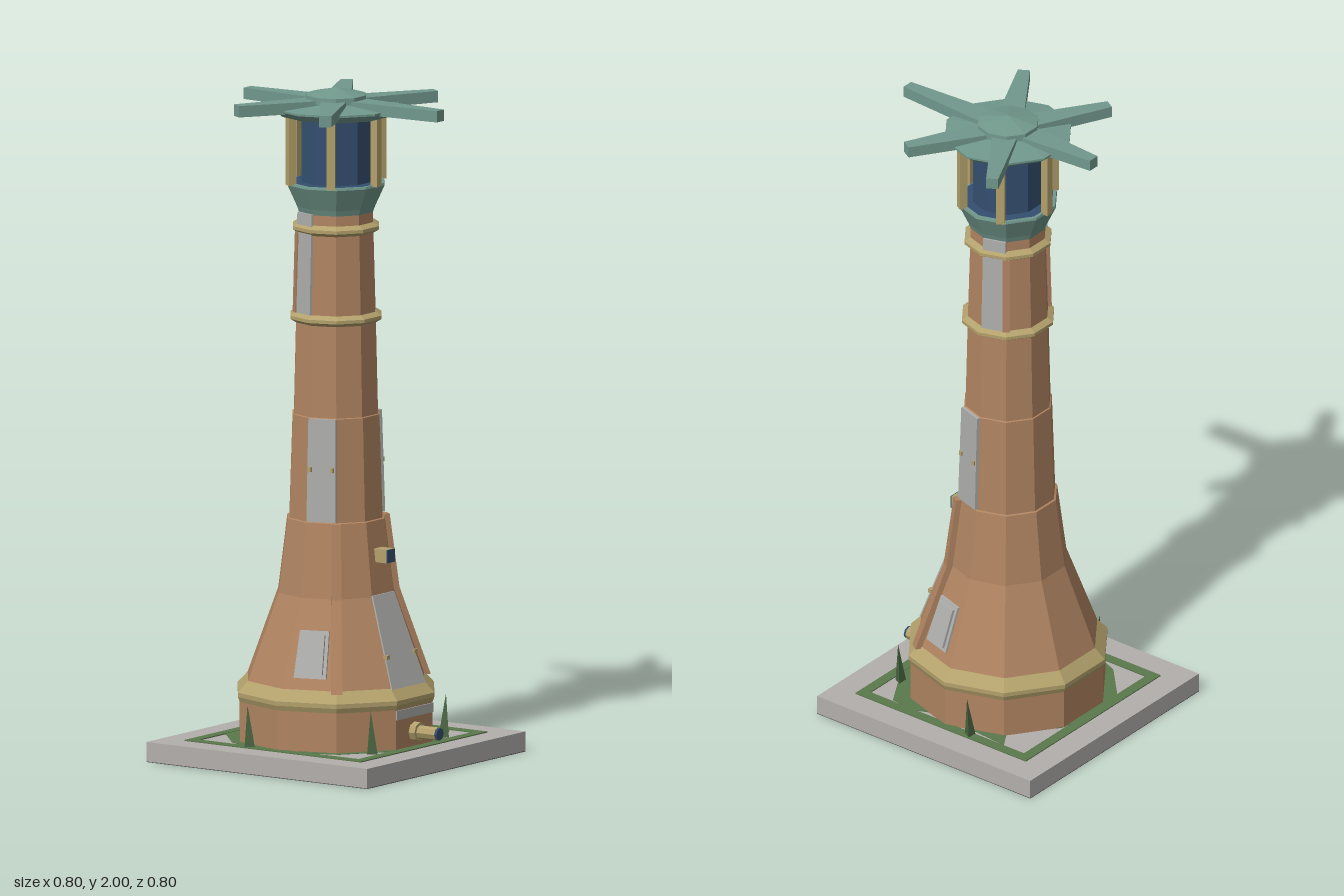
import * as THREE from 'three';
import { ConvexGeometry } from 'three/addons/geometries/ConvexGeometry.js';

const mat = (name, color) => Object.assign(new THREE.MeshStandardMaterial({ color }), { name });
const M = {
  brick: mat('brick', 0xb08461),
  brass: mat('brass', 0xb3a16c),
  copper: mat('weathered copper', 0x71988c),
  stone: mat('stone', 0xb2afac),
  base: mat('dark underside', 0x555555),
  metal: mat('grey metal', 0xadadab),
  glass: mat('blue glass', 0x344f70),
  grass: mat('grass', 0x5b794c),
  reed: mat('dark leaf', 0x4a6642),
};
const STEP = Math.PI / 5;          // ten-sided tower, one corner on the x axis
const APO = Math.cos(STEP / 2);    // corner radius to face distance
const HALF = Math.sin(STEP / 2);   // corner radius to half face width

// Faceted copy of a geometry, with hard edges
function flat(geo) {
  const g = geo.index ? geo.toNonIndexed() : geo;
  g.computeVertexNormals();
  return g;
}

export function createModel() {
  const root = new THREE.Group();
  root.name = 'lighthouse';

  function add(name, geo, material, x = 0, y = 0, z = 0) {
    const m = new THREE.Mesh(geo, material);
    m.name = name;
    m.position.set(x, y, z);
    root.add(m);
    return m;
  }
  // Ten-sided turned part from [radius, y] points, bottom to top
  function turned(name, pts, material) {
    const profile = pts.map(([r, y]) => new THREE.Vector2(r, y));
    return add(name, flat(new THREE.LatheGeometry(profile, 10, Math.PI / 2)), material);
  }
  // Slab leaning on the tower: distance d and half width w at two heights
  function plate(name, a, [y0, d0, w0], [y1, d1, w1], t, material) {
    const c = Math.cos(a), s = Math.sin(a), pts = [];
    for (const [y, d, w] of [[y0, d0, w0], [y1, d1, w1]])
      for (const e of [-0.006, t])
        for (const k of [-w, w])
          pts.push(new THREE.Vector3(c * (d + e) - s * k, y, s * (d + e) + c * k));
    return add(name, new ConvexGeometry(pts), material);
  }
  // Plate covering one whole face of the tower
  const facePlate = (name, a, y0, r0, y1, r1, t, material) =>
    plate(name, a, [y0, r0 * APO, r0 * HALF], [y1, r1 * APO, r1 * HALF], t, material);
  // Flat ground shape from [x, z] points
  function ground(name, pts, y, depth, material, hole) {
    const shape = new THREE.Shape(pts.map(([x, z]) => new THREE.Vector2(x, -z)));
    if (hole) shape.holes.push(new THREE.Path(hole.map(([x, z]) => new THREE.Vector2(x, -z))));
    const g = new THREE.ExtrudeGeometry(shape, { depth, bevelEnabled: false });
    g.rotateX(-Math.PI / 2);
    return add(name, g, material, 0, y, 0);
  }
  const square = (h) => [[-h, -h], [-h, h], [h, h], [h, -h]];

  // Plinth and grass
  add('plinth', new THREE.BoxGeometry(0.8, 0.058, 0.8), M.stone, 0, 0.031, 0);
  add('plinthUnderside', new THREE.BoxGeometry(0.8, 0.002, 0.8), M.base, 0, 0.001, 0);
  ground('grassBorder', square(0.32), 0.06, 0.003, M.grass, square(0.288));
  ground('grassPatch', [[-0.12, -0.32], [-0.26, -0.19], [-0.29, -0.12], [-0.27, 0.03], [-0.285, 0.1],
    [-0.25, 0.19], [-0.1, 0.3], [0.1, 0.315], [0.28, 0.21], [0.29, 0.13], [0.27, 0.08], [0.275, -0.1],
    [0.285, -0.21], [0.22, -0.17], [0.1, -0.28]], 0.06, 0.002, M.grass);
  for (const [x, z, lean] of [[0.308, -0.095, 0.1], [-0.308, -0.095, -0.1], [0.185, 0.262, 0.08], [-0.185, 0.262, -0.08]]) {
    const leaf = add('reed', flat(new THREE.ConeGeometry(0.018, 0.13, 3)), M.reed, x, 0.125, z);
    leaf.rotation.z = -lean;
  }

  // Tower walls
  turned('towerWall', [
    [0.298, 0.06], [0.298, 0.19], [0.275, 0.235], [0.178, 0.5], [0.15, 0.72], [0.144, 0.722],
    [0.134, 1.03], [0.13, 1.032], [0.123, 1.32], [0.114, 1.635],
  ], M.brick);

  // Brass bands
  turned('baseBand', [[0.296, 0.175], [0.304, 0.195], [0.304, 0.208], [0.272, 0.242]], M.brass);
  for (const [y, r] of [[1.32, 0.123], [1.587, 0.115]])
    turned('brassBand', [[r, y - 0.016], [r + 0.018, y - 0.005], [r + 0.018, y + 0.005], [r, y + 0.016]], M.brass);

  // Front door with sill and handles
  const FRONT = Math.PI / 2;
  facePlate('door', FRONT, 0.238, 0.274, 0.505, 0.177, 0.004, M.metal);
  facePlate('doorSill', FRONT, 0.15, 0.298, 0.178, 0.298, 0.004, M.metal);
  for (const x of [-0.07, 0.07])
    add('doorHandle', new THREE.BoxGeometry(0.014, 0.012, 0.014), M.brass, x, 0.33, 0.233);

  // Details mirrored on both sides
  for (const side of [1, -1]) {
    const at = (a) => (side > 0 ? a : Math.PI - a);

    // Wall ribs along the corners
    plate('ribLower', at(STEP), [0.235, 0.27, 0.017], [0.5, 0.174, 0.015], 0.018, M.brick);
    plate('ribUpper', at(STEP), [0.5, 0.174, 0.015], [0.72, 0.144, 0.014], 0.018, M.brick);
    plate('ribTop', at(-STEP), [1.336, 0.121, 0.011], [1.575, 0.114, 0.011], 0.01, M.brick);

    // Riveted metal wall panels
    facePlate('middlePanel', at(STEP / 2), 0.724, 0.145, 1.03, 0.135, 0.009, M.metal);
    facePlate('upperPanel', at(-STEP / 2), 1.336, 0.123, 1.635, 0.114, 0.007, M.metal);
    for (const w of [-0.034, 0.034]) {
      const a = at(STEP / 2), d = 0.143;
      add('rivet', new THREE.BoxGeometry(0.01, 0.014, 0.01), M.brass,
        Math.cos(a) * d - Math.sin(a) * w, 0.88, Math.sin(a) * d + Math.cos(a) * w);
    }

    // Sloping hatch with a raised lid
    plate('hatchFrame', at(STEP / 2), [0.275, 0.248, 0.05], [0.41, 0.201, 0.045], 0.007, M.metal);
    plate('hatchLid', at(STEP / 2), [0.287, 0.25, 0.039], [0.4, 0.211, 0.035], 0.009, M.metal);
  }

  // Front lamp and outlet pipe
  add('frontLamp', new THREE.BoxGeometry(0.04, 0.04, 0.05), M.brass, 0, 0.62, 0.172);
  add('frontLampGlass', new THREE.BoxGeometry(0.039, 0.039, 0.004), M.glass, 0, 0.62, 0.198);
  for (const [name, r, len, z, m] of [['pipeFlange', 0.029, 0.03, 0.29, M.brass],
    ['pipe', 0.02, 0.085, 0.327, M.brass], ['pipeMouth', 0.0185, 0.008, 0.373, M.glass]]) {
    const g = new THREE.CylinderGeometry(r, r, len, 8);
    g.rotateX(Math.PI / 2);
    add(name, flat(g), m, 0, 0.105, z);
  }

  // Gallery collar and lantern room
  turned('galleryCollar', [[0.113, 1.63], [0.12, 1.65], [0.15, 1.715], [0.148, 1.722], [0.138, 1.722]], M.copper);
  turned('galleryFloor', [[0.138, 1.722], [0.107, 1.722]], M.glass);
  turned('lanternGlass', [[0.107, 1.722], [0.107, 1.925]], M.glass);
  for (let i = 0; i < 6; i++) {
    const a = FRONT + i * Math.PI / 3;
    const post = add('lanternPost', new THREE.BoxGeometry(0.024, 0.21, 0.024), M.brass,
      Math.cos(a) * 0.145, 1.823, Math.sin(a) * 0.145);
    post.rotation.y = -a;
  }

  // Roof disc, hub and spokes; the front spoke is longer
  turned('roofDisc', [[0, 1.92], [0.165, 1.92], [0.193, 1.94], [0.193, 1.946], [0, 1.965]], M.copper);
  turned('roofHub', [[0.093, 1.96], [0.092, 1.98], [0, 2]], M.copper);
  for (let i = 0; i < 6; i++) {
    const len = i === 0 ? 0.378 : 0.322;
    const shape = new THREE.Shape([[0, -0.045], [0.08, -0.037], [len, -0.018], [len, 0.018], [0.08, 0.037], [0, 0.045]]
      .map(([x, y]) => new THREE.Vector2(x, y)));
    const g = new THREE.ExtrudeGeometry(shape, { depth: 0.034, bevelEnabled: false });
    g.rotateX(-Math.PI / 2);
    add('roofSpoke', g, M.copper, 0, 1.935, 0).rotation.y = -FRONT - i * Math.PI / 3;
  }
  return root;
}
